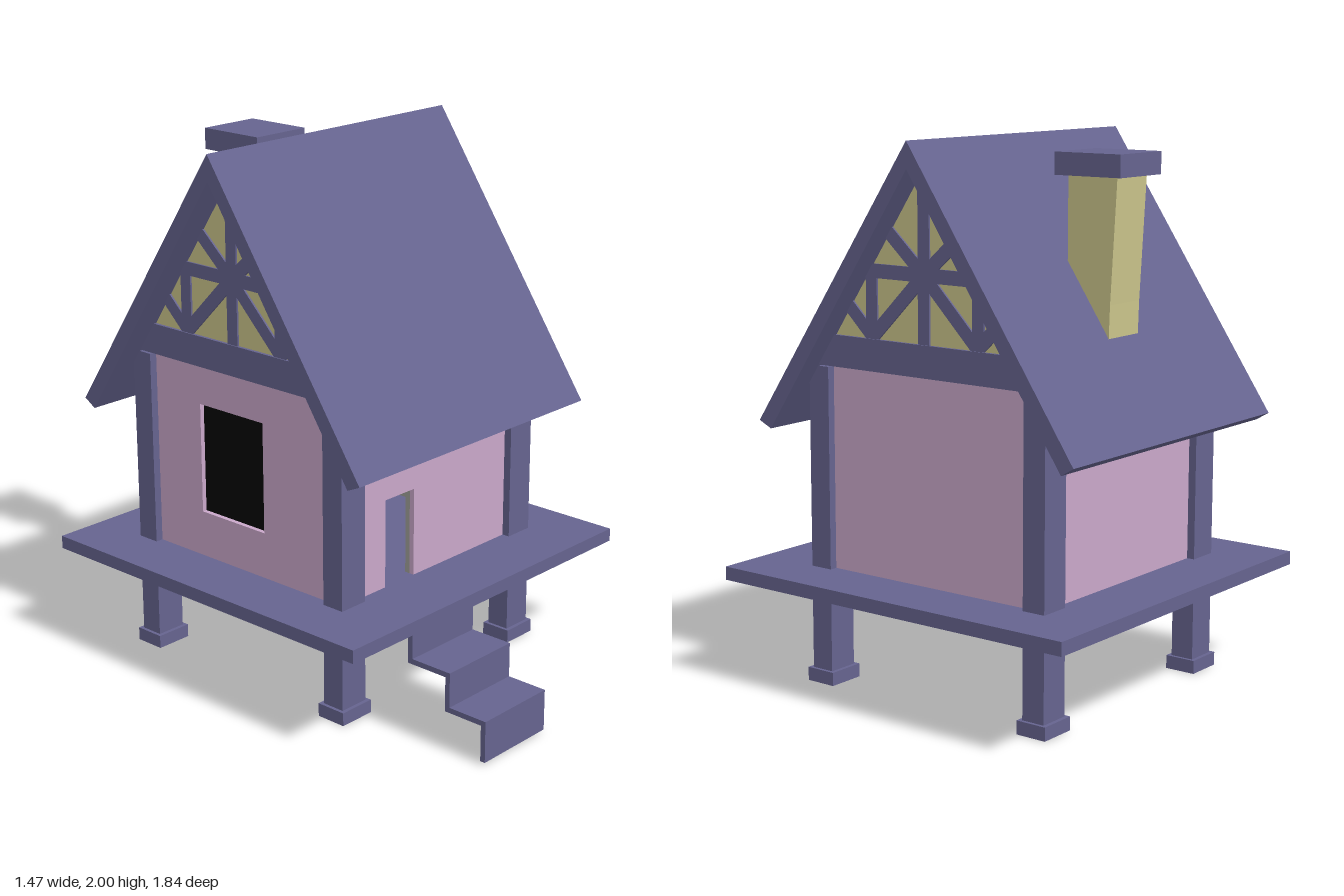
import * as THREE from 'three';

const RIDGE_Z = -0.18;
const mat = (color) => new THREE.MeshStandardMaterial({ color });

export function createModel() {
  const model = new THREE.Group();
  const timber = mat(0x66648f), plaster = mat(0xcaa8ca), ochre = mat(0xccc68c);
  const grey = mat(0xa0a09a), black = mat(0x050505);

  function add(name, geometry, material, parent = model) {
    const mesh = new THREE.Mesh(geometry, material);
    mesh.name = name;
    parent.add(mesh);
    return mesh;
  }

  // Box given by its extents on each axis
  function box(name, [x0, x1], [y0, y1], [z0, z1], material, parent) {
    const g = new THREE.BoxGeometry(x1 - x0, y1 - y0, z1 - z0);
    g.translate((x0 + x1) / 2, (y0 + y1) / 2, (z0 + z1) / 2);
    return add(name, g, material, parent);
  }

  const outline = (pts) => pts.map(([a, b]) => new THREE.Vector2(a, b));

  // Side profile of (z, y) points, extruded from x0 to x1
  function slab(name, pts, [x0, x1], material, parent, hole) {
    const shape = new THREE.Shape(outline(pts));
    if (hole) shape.holes.push(new THREE.Path(outline(hole)));
    const g = new THREE.ExtrudeGeometry(shape, { depth: x1 - x0, bevelEnabled: false });
    g.rotateY(-Math.PI / 2).translate(x1, 0, 0);
    return add(name, g, material, parent);
  }

  // Front outline of (x, y) points, extruded from z0 to z1
  function panel(name, pts, [z0, z1], material, parent) {
    const g = new THREE.ExtrudeGeometry(new THREE.Shape(outline(pts)), { depth: z1 - z0, bevelEnabled: false });
    return add(name, g.translate(0, 0, z0), material, parent);
  }

  // Platform and folded stairs
  box('platform', [-0.735, 0.73], [0.385, 0.435], [-0.92, 0.59], timber);
  slab('stairs', [
    [0.57, 0.39], [0.57, 0.275], [0.74, 0.275], [0.74, 0.145], [0.9, 0.145], [0.9, 0.01],
    [0.92, 0.01], [0.92, 0.165], [0.76, 0.165], [0.76, 0.295], [0.59, 0.295], [0.59, 0.39],
  ], [-0.43, -0.1], timber);

  // Corner posts run from the ground to the roof, each on a foot
  for (const x of [-0.47, 0.465]) {
    for (const z of [0.305, -0.655]) {
      const post = new THREE.Group();
      post.name = 'cornerPost';
      box('post', [x - 0.06, x + 0.06], [0.01, 1.18], [z - 0.045, z + 0.045], timber, post);
      box('foot', [x - 0.073, x + 0.073], [0, 0.05], [z - 0.06, z + 0.06], timber, post);
      model.add(post);
    }
  }

  // Front wall with doorway, in plaster outside and a grey lining inside
  const frontOutline = [
    [-0.47, 0.43], [-0.27, 0.43], [-0.27, 0.77], [-0.115, 0.77],
    [-0.115, 0.43], [0.465, 0.43], [0.465, 1.2], [-0.47, 1.2],
  ];
  const walls = new THREE.Group();
  walls.name = 'walls';
  model.add(walls);
  panel('frontWall', frontOutline, [0.3, 0.32], plaster, walls);
  panel('frontLining', frontOutline, [0.28, 0.3], grey, walls);
  box('backWall', [-0.47, 0.465], [0.43, 1.2], [-0.67, -0.65], plaster, walls);
  box('backLining', [-0.47, 0.465], [0.43, 1.2], [-0.65, -0.63], grey, walls);

  // Side walls; the right one holds a recessed dark window
  const side = [[-0.655, 0.43], [0.305, 0.43], [0.305, 1.2], [-0.655, 1.2]];
  const windowHole = [[-0.38, 0.61], [-0.38, 1.03], [-0.06, 1.03], [-0.06, 0.61]];
  slab('leftWall', side, [0.475, 0.495], plaster, walls);
  slab('leftLining', side, [0.455, 0.475], grey, walls);
  slab('rightWall', side, [-0.5, -0.48], plaster, walls, windowHole);
  slab('rightLining', side, [-0.475, -0.46], grey, walls);
  box('windowPane', [-0.482, -0.474], [0.59, 1.05], [-0.4, -0.04], black, walls);

  // Roof: two slopes as one chevron
  const c = RIDGE_Z;
  slab('roof', [
    [c, 2], [c - 0.695, 0.975], [c - 0.645, 0.945], [c, 1.905], [c + 0.645, 0.945], [c + 0.7, 0.97],
  ], [-0.625, 0.61], timber);

  // Gables: ochre panel, tie beam and timber framing
  const strut = (gable, x, z0, y0, z1, y1, width = 0.05) => {
    const m = add('strut', new THREE.BoxGeometry(0.045, Math.hypot(z1 - z0, y1 - y0), width), timber, gable);
    m.position.set(x, (y0 + y1) / 2, c + (z0 + z1) / 2);
    m.rotation.x = Math.atan2(z1 - z0, y1 - y0);
  };
  for (const s of [-1, 1]) {
    const gable = new THREE.Group();
    gable.name = s > 0 ? 'leftGable' : 'rightGable';
    model.add(gable);
    const x = s * 0.5;
    slab('gablePanel', [[c - 0.48, 1.22], [c + 0.48, 1.22], [c, 1.94]], [x - 0.015, x + 0.015], ochre, gable);
    slab('tieBeam', [[c - 0.52, 1.185], [c + 0.52, 1.185], [c + 0.45, 1.3], [c - 0.45, 1.3]],
      [x - 0.027, x + 0.027], timber, gable);
    strut(gable, x, 0, 1.28, 0, 1.93);
    strut(gable, x, -0.26, 1.54, 0.26, 1.54);
    for (const d of [-1, 1]) {
      strut(gable, x, d * 0.235, 1.28, d * 0.235, 1.54);
      strut(gable, x, 0, 1.54, d * 0.18, 1.7);
      strut(gable, x, 0, 1.54, d * 0.23, 1.31);
      strut(gable, x, d * 0.235, 1.31, d * 0.35, 1.42);
    }
  }

  // Chimney rising from the rear slope
  const chimney = new THREE.Group();
  chimney.name = 'chimney';
  model.add(chimney);
  slab('chimneyShaft', [
    [-0.47, 1.88], [-0.675, 1.88], [-0.65, 1.43], [-0.645, 1.27], [-0.47, 1.53],
  ], [-0.095, 0.085], ochre, chimney);
  box('chimneyCap', [-0.13, 0.12], [1.87, 1.95], [-0.71, -0.435], timber, chimney);

  return model;
}
